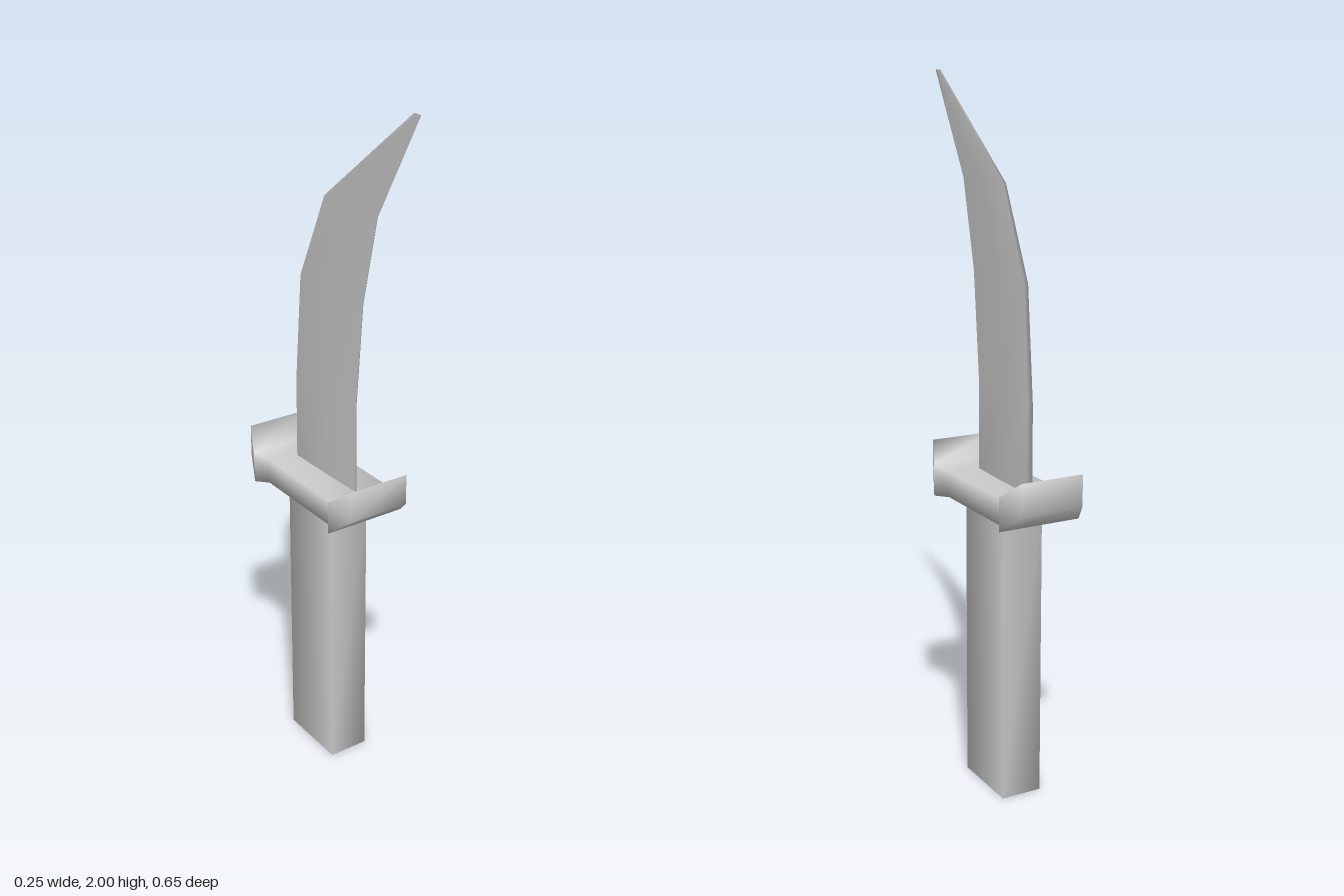
import * as THREE from 'three';
import { mergeVertices } from 'three/addons/utils/BufferGeometryUtils.js';

const material = new THREE.MeshStandardMaterial({ color: 0xcccccc });

// Skin a list of equal-length rings, with both ends closed; rings turn
// counter-clockwise about the direction of travel. Normals are smooth.
function loft(rings) {
  const n = rings[0].length;
  const last = (rings.length - 1) * n;
  const index = [];
  for (let i = 0; i < rings.length - 1; i++) {
    for (let j = 0; j < n; j++) {
      const k = (j + 1) % n;
      const a = i * n + j, b = i * n + k;
      index.push(a, b, b + n, a, b + n, a + n);
    }
  }
  for (let j = 1; j < n - 1; j++) {
    index.push(0, j + 1, j, last, last + j, last + j + 1);
  }
  const geometry = new THREE.BufferGeometry();
  geometry.setAttribute('position', new THREE.Float32BufferAttribute(rings.flat(2), 3));
  geometry.setIndex(index);
  geometry.computeVertexNormals();
  return geometry;
}

function handleGeometry() {
  const box = new THREE.BoxGeometry(0.12, 0.84, 0.215);
  box.deleteAttribute('normal');
  box.deleteAttribute('uv');
  const welded = mergeVertices(box);
  welded.computeVertexNormals();
  return welded.translate(0, 0.42, -0.0675);
}

// Cross bar whose flared ends turn upward: [z, half width, bottom, top]
function guardGeometry() {
  const stations = [
    [-0.328, 0.093, 0.885, 0.975],
    [-0.262, 0.123, 0.83, 0.925],
    [-0.23, 0.093, 0.83, 0.905],
    [0.08, 0.093, 0.83, 0.905],
    [0.115, 0.123, 0.83, 0.925],
    [0.18, 0.093, 0.885, 0.975],
  ];
  return loft(stations.map(([z, w, y0, y1]) => [
    [-w, y0, z], [w, y0, z], [w, y1, z], [-w, y1, z],
  ]));
}

// Curved blade with a flat spine and a thin edge:
// [y at spine, z at spine, y at edge, z at edge, half thickness]
function bladeGeometry() {
  const stations = [
    [0.88, -0.21, 0.88, 0.072, 0.009],
    [1.15, -0.21, 1.17, 0.072, 0.008],
    [1.465, -0.185, 1.465, 0.1, 0.006],
    [1.715, -0.07, 1.715, 0.16, 0.004],
    [2.0, 0.298, 2.0, 0.325, 0.0015],
  ];
  return loft(stations.map(([ys, zs, ye, ze, t]) => {
    const ym = (ys + ye) / 2, zm = (zs + ze) / 2;
    const m = t * 0.85, e = t * 0.2;
    return [
      [e, ye, ze], [m, ym, zm], [t, ys, zs],
      [-t, ys, zs], [-m, ym, zm], [-e, ye, ze],
    ];
  }));
}

export function createModel() {
  const model = new THREE.Group();
  model.name = 'curvedKnife';
  const parts = {
    handle: handleGeometry(),
    guard: guardGeometry(),
    blade: bladeGeometry(),
  };
  for (const [name, geometry] of Object.entries(parts)) {
    const mesh = new THREE.Mesh(geometry, material);
    mesh.name = name;
    model.add(mesh);
  }
  return model;
}
